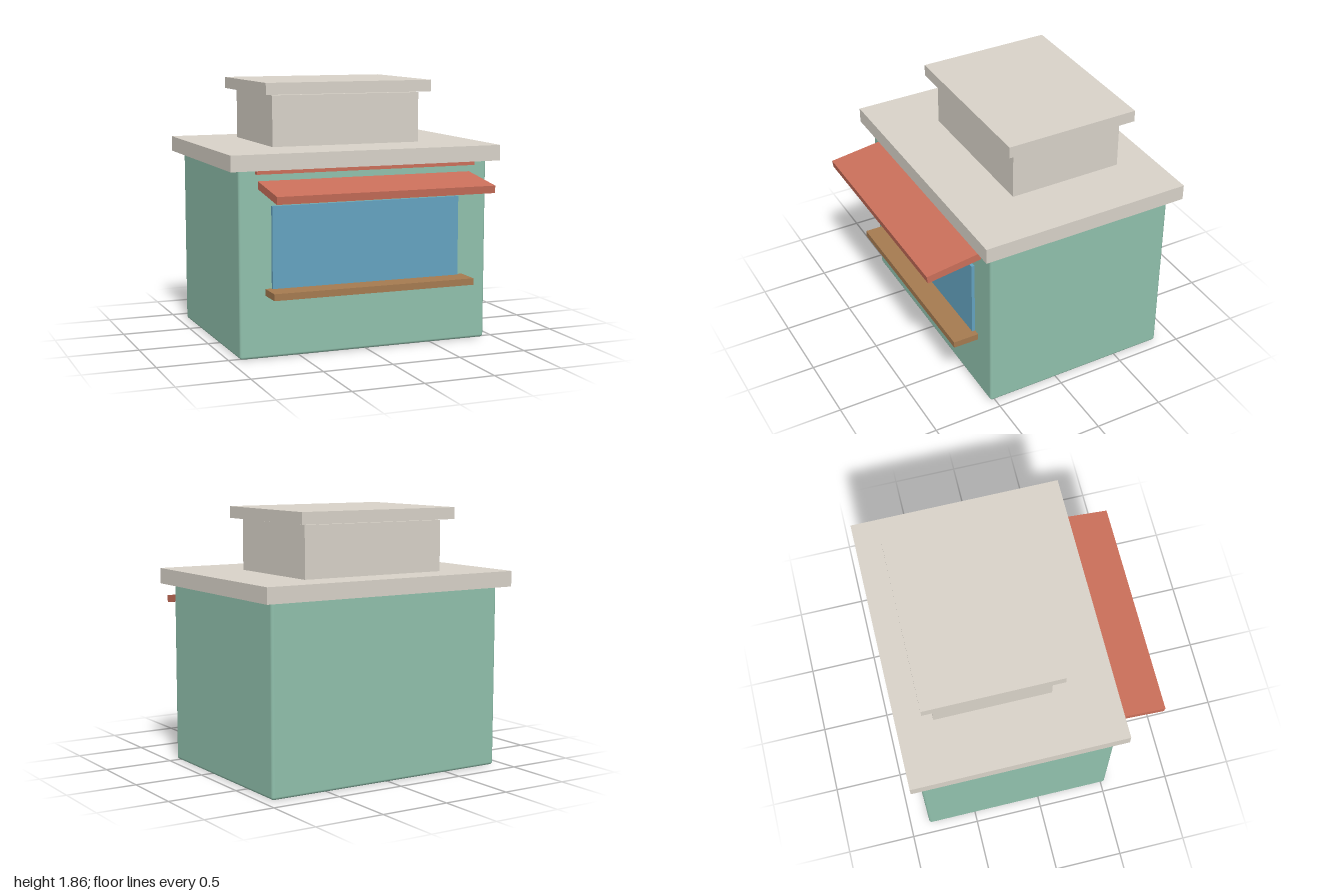
import * as THREE from 'three';
import { RoundedBoxGeometry } from 'three/addons/geometries/RoundedBoxGeometry.js';

const paint = (color) => new THREE.MeshStandardMaterial({ color });

export function createModel() {
  const group = new THREE.Group();
  const stone = paint(0xd8d2c8);
  const green = paint(0x90c0ac);
  const red = paint(0xca6f5a);
  const glass = paint(0x64a3c0);
  const wood = paint(0xa57a50);

  // Box spanning x = -halfWidth..halfWidth, y0..y1, z0..z1; optional rounded edges
  function block(name, material, halfWidth, y0, y1, z0, z1, radius = 0) {
    const size = [halfWidth * 2, y1 - y0, z1 - z0];
    const geometry = radius
      ? new RoundedBoxGeometry(...size, 3, radius)
      : new THREE.BoxGeometry(...size);
    const mesh = new THREE.Mesh(geometry, material);
    mesh.name = name;
    mesh.position.set(0, (y0 + y1) / 2, (z0 + z1) / 2);
    group.add(mesh);
    return mesh;
  }

  // Main building with softly rounded edges
  block('walls', green, 0.926, 0, 1.31, -0.857, 0.533, 0.02);

  // Overhanging roof, the box on it and its cap
  block('roofSlab', stone, 1, 1.297, 1.408, -0.93, 0.603);
  block('roofBox', stone, 0.56, 1.408, 1.769, -0.67, 0.163);
  block('roofCap', stone, 0.628, 1.777, 1.86, -0.745, 0.23);

  // Shop front: trim under the roof, window and counter shelf
  block('trimBand', red, 0.81, 1.27, 1.35, 0.5, 0.58);
  block('window', glass, 0.697, 0.46, 1.05, 0.51, 0.556);
  block('counter', wood, 0.742, 0.435, 0.482, 0.5, 0.72);

  // Awning sloping down towards the front
  const awning = block('awning', red, 0.79, 1.142, 1.195, 0.5, 0.93);
  awning.rotation.x = 0.14;

  return group;
}
